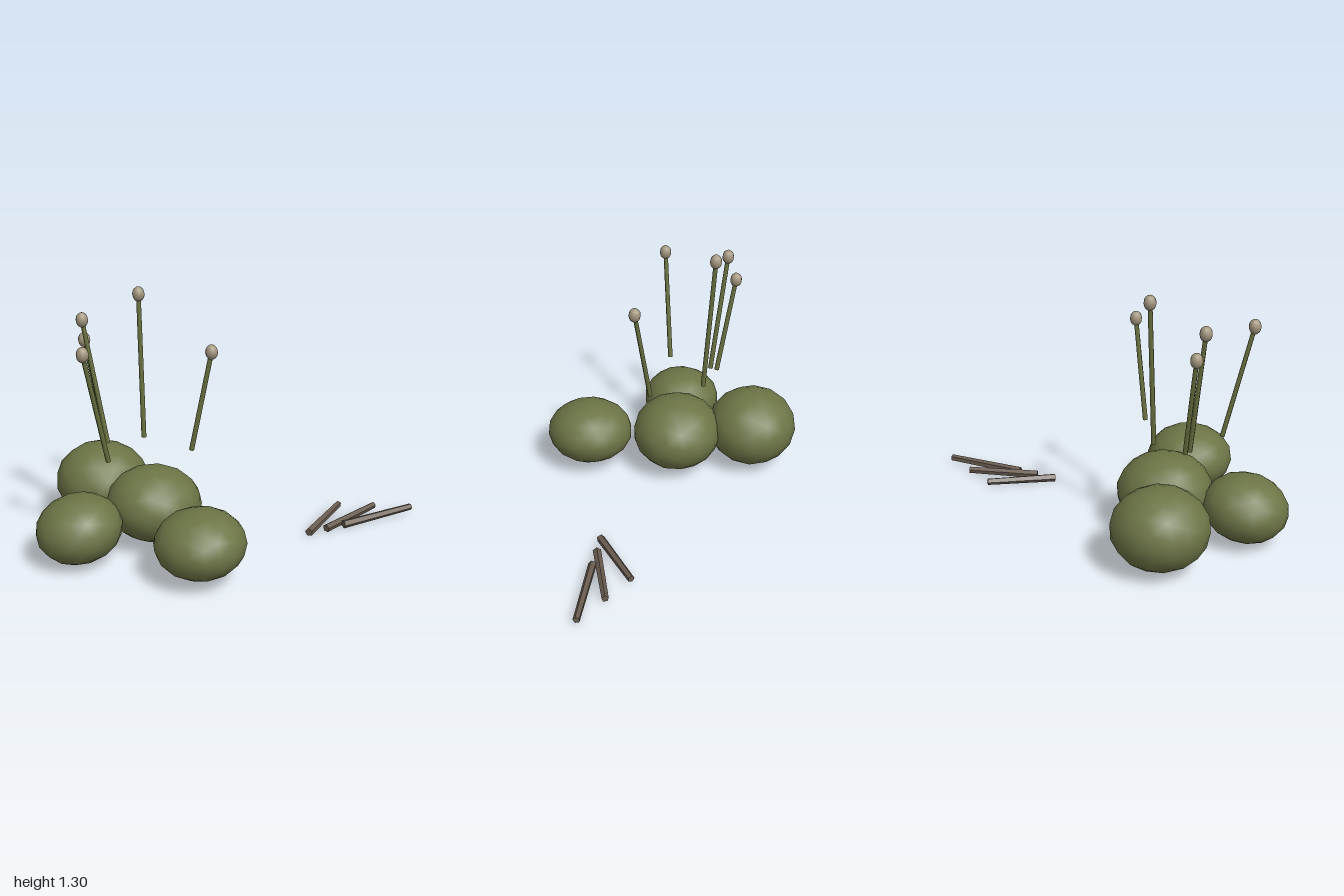
import * as THREE from 'three';

const mat = (name, color) => {
  const m = new THREE.MeshStandardMaterial({ color });
  m.name = name;
  return m;
};

// Round bar running from point a to point b
function bar(a, b, rTop, rBottom, sides, material, name) {
  const from = new THREE.Vector3(...a), to = new THREE.Vector3(...b);
  const dir = to.clone().sub(from);
  const mesh = new THREE.Mesh(new THREE.CylinderGeometry(rTop, rBottom, dir.length(), sides), material);
  mesh.position.copy(from).add(to).multiplyScalar(0.5);
  mesh.quaternion.setFromUnitVectors(new THREE.Vector3(0, 1, 0), dir.normalize());
  mesh.name = name;
  return mesh;
}

export function createModel() {
  const model = new THREE.Group();
  model.name = 'mossClump';
  const moss = mat('mossGreen', 0x6c7546);
  const stalkGreen = mat('stalkGreen', 0x69713f);
  const capsule = mat('capsuleBeige', 0xa2967e);
  const wood = mat('twigBrown', 0x685b4f);

  // Moss cushions: centre, radii, tilt about z
  const cushions = [
    [[-0.35, 0.207, 0.442], [0.224, 0.166, 0.23], 0.05],
    [[-0.485, 0.226, -0.435], [0.245, 0.204, 0.24], -0.05],
    [[-0.37, 0.228, -0.035], [0.244, 0.193, 0.237], -0.08],
    [[-0.787, 0.19, -0.01], [0.217, 0.168, 0.21], 0.16],
  ];
  cushions.forEach(([p, r, tilt], i) => {
    const geo = new THREE.IcosahedronGeometry(1, 2);
    geo.rotateY(i * 1.3);
    geo.scale(...r);
    const mesh = new THREE.Mesh(geo, moss);
    mesh.position.set(...p);
    mesh.rotation.z = tilt;
    mesh.name = 'cushion';
    model.add(mesh);
  });

  // Thin stalks, each with a spore capsule at the tip
  const stalks = [
    [[-0.64, 0.533, 0.036], [-0.768, 1.105, 0.08]],
    [[-0.547, 0.533, -0.195], [-0.63, 1.163, -0.268]],
    [[-0.535, 0.533, -0.23], [-0.604, 1.046, -0.315]],
    [[-0.357, 0.533, -0.175], [-0.345, 1.266, -0.229]],
    [[-0.219, 0.533, 0.09], [-0.139, 1.046, 0.154]],
  ];
  for (const [foot, tip] of stalks) {
    model.add(bar(foot, tip, 0.0115, 0.0125, 6, stalkGreen, 'stalk'));
    const head = new THREE.Mesh(new THREE.SphereGeometry(0.031, 10, 8), capsule);
    head.scale.y = 1.22;
    head.position.set(...tip);
    head.name = 'sporeCapsule';
    model.add(head);
  }

  // Fallen twigs lying beside the moss
  const twigs = [
    [[0.365, 0.025, 0.265], [0.675, 0.036, 0.06]],
    [[0.47, 0.025, 0.265], [0.835, 0.036, 0.16]],
    [[0.575, 0.025, 0.268], [1.0, 0.036, 0.268]],
  ];
  for (const [a, b] of twigs) {
    const twig = bar(a, b, 0.018, 0.022, 5, wood, 'twig');
    twig.material = wood;
    twig.geometry = twig.geometry.toNonIndexed();
    twig.geometry.computeVertexNormals();
    model.add(twig);
  }
  return model;
}
